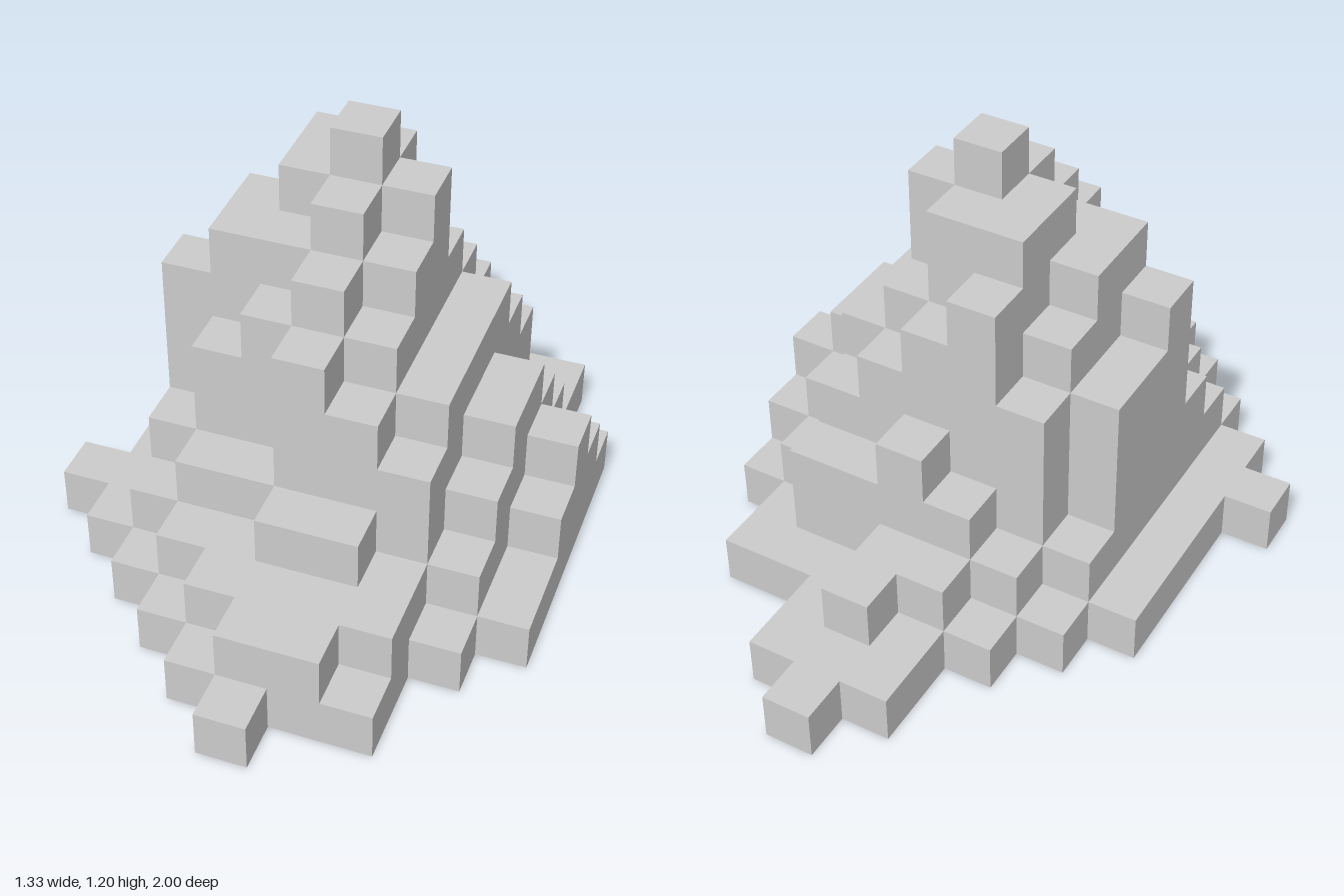
import * as THREE from 'three';

const CELL = 2 / 15;

// Column heights in blocks: rows run back to front (-z to +z), digits run -x to +x
const HEIGHTS = [
  '0000010000',
  '0000111000',
  '0000121000',
  '0001221110',
  '0012343310',
  '0125765421',
  '0156886532',
  '0157898543',
  '0167787542',
  '1135676531',
  '0123365421',
  '0012233210',
  '0001222200',
  '0000122100',
  '0000010000',
];
const NX = HEIGHTS[0].length;
const NZ = HEIGHTS.length;
const heightAt = (i, k) => Number(HEIGHTS[k]?.[i] ?? 0);

// Outer skin of the stepped mound: caps, undersides and exposed walls only
function moundGeometry() {
  const positions = [];
  const quad = (a, b, c, d) => {
    for (const [x, y, z] of [a, b, c, a, c, d]) {
      positions.push((x - NX / 2) * CELL, y * CELL, (z - NZ / 2) * CELL);
    }
  };
  for (let k = 0; k < NZ; k++) {
    for (let i = 0; i < NX; i++) {
      const h = heightAt(i, k);
      if (!h) continue;
      // Corners go counter-clockwise as seen from above
      const ring = [[i, k + 1], [i + 1, k + 1], [i + 1, k], [i, k]];
      const at = (n, y) => [ring[n % 4][0], y, ring[n % 4][1]];
      quad(at(0, h), at(1, h), at(2, h), at(3, h));
      quad(at(3, 0), at(2, 0), at(1, 0), at(0, 0));
      // Front, right, back and left walls above the neighbouring column
      [[0, 1], [1, 0], [0, -1], [-1, 0]].forEach(([di, dk], n) => {
        const low = heightAt(i + di, k + dk);
        for (let y = low; y < h; y++) {
          quad(at(n, y), at(n + 1, y), at(n + 1, y + 1), at(n, y + 1));
        }
      });
    }
  }
  const geometry = new THREE.BufferGeometry();
  geometry.setAttribute('position', new THREE.Float32BufferAttribute(positions, 3));
  geometry.computeVertexNormals();
  return geometry;
}

export function createModel() {
  const group = new THREE.Group();
  group.name = 'blockMountain';
  const material = new THREE.MeshStandardMaterial({ color: 0xcccccc, flatShading: true });
  const mound = new THREE.Mesh(moundGeometry(), material);
  mound.name = 'steppedRock';
  group.add(mound);
  return group;
}
